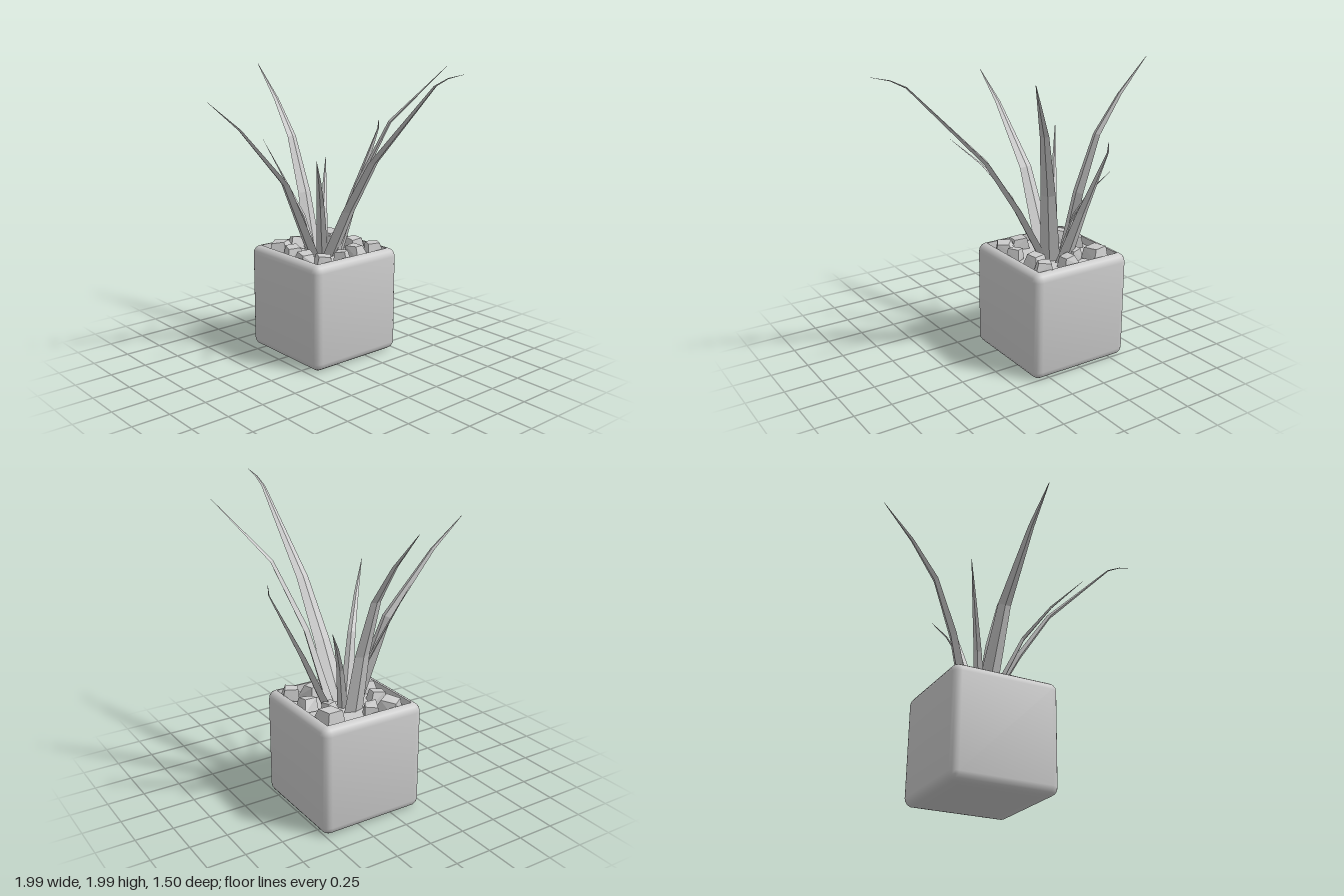
import * as THREE from 'three';
import { toCreasedNormals } from 'three/addons/utils/BufferGeometryUtils.js';
import { ConvexGeometry } from 'three/addons/geometries/ConvexGeometry.js';

const POT_X = -0.25, POT_Z = -0.15;      // pot centre
const HALF = 0.363, TOP = 0.73, BEVEL = 0.055, SOIL_Y = 0.68;

const grey = new THREE.MeshStandardMaterial({ color: 0xcccccc });
const greyFlat = new THREE.MeshStandardMaterial({ color: 0xcccccc, flatShading: true });

function named(name, geometry, material) {
  const mesh = new THREE.Mesh(geometry, material);
  mesh.name = name;
  return mesh;
}

// Skin a list of rings (arrays of equal length, running from bottom to top)
function loft(rings) {
  const n = rings[0].length, index = [];
  for (let j = 0; j < rings.length - 1; j++) {
    for (let i = 0; i < n; i++) {
      const a = j * n + i, b = j * n + (i + 1) % n;
      index.push(a, a + n, b, b, a + n, b + n);
    }
  }
  const geometry = new THREE.BufferGeometry().setFromPoints(rings.flat());
  geometry.setIndex(index);
  return geometry;
}

// Rounded square: corner centres at distance c, corner radius r, height y
function squareRing(c, r, y) {
  const ring = [], steps = 4;
  for (let k = 0; k < 4; k++) {
    const mid = (k + 0.5) * Math.PI / 2;
    for (let s = 0; s <= steps; s++) {
      const a = (k + s / steps) * Math.PI / 2;
      ring.push(new THREE.Vector3(
        Math.sign(Math.cos(mid)) * c + r * Math.cos(a), y,
        Math.sign(Math.sin(mid)) * c + r * Math.sin(a)));
    }
  }
  return ring;
}

// Hollow pot with rounded edges all round
function makePot() {
  const c = HALF - BEVEL, rings = [squareRing(0, 0, 0)];
  for (let s = 0; s <= 4; s++) {
    const a = s / 4 * Math.PI / 2;
    rings.push(squareRing(c, Math.max(0.001, BEVEL * Math.sin(a)), BEVEL * (1 - Math.cos(a))));
  }
  for (let s = 0; s <= 4; s++) {
    const a = s / 4 * Math.PI / 2;
    rings.push(squareRing(c, Math.max(0.001, BEVEL * Math.cos(a)), TOP - BEVEL * (1 - Math.sin(a))));
  }
  rings.push(squareRing(c, 0.001, SOIL_Y - 0.03));
  const pot = named('pot', toCreasedNormals(loft(rings), 0.6), grey);
  pot.position.set(POT_X, 0, POT_Z);
  return pot;
}

// Angular pebble: hull of a jittered block
function makeStone(x, z, size, rand) {
  const points = [];
  for (const sx of [-1, 1]) for (const sy of [-1, 1]) for (const sz of [-1, 1]) {
    const inset = sy > 0 ? 0.7 : 1;
    points.push(new THREE.Vector3(
      sx * size * inset * (0.75 + 0.35 * rand()),
      sy * 0.04 * (0.75 + 0.35 * rand()),
      sz * size * inset * (0.75 + 0.35 * rand())));
  }
  const stone = named('stone', new ConvexGeometry(points), greyFlat);
  stone.position.set(x, 0.71 + 0.025 * rand(), z);
  stone.rotation.set((rand() - 0.5) * 0.3, rand() * 1.2 - 0.6, (rand() - 0.5) * 0.3);
  return stone;
}

// Tapering blade with a ridge and keel; path is [distance from centre, height]
function makeLeaf([dx, dz], path, width, thick) {
  const dir = new THREE.Vector3(dx, 0, dz).normalize();
  const up = new THREE.Vector3(0, 1, 0);
  const side = new THREE.Vector3().crossVectors(up, dir);
  const pts = path.map(([d, y]) => new THREE.Vector3(-0.26, y, -0.15).addScaledVector(dir, d));
  const lengths = [0];
  for (let i = 1; i < pts.length; i++) lengths.push(lengths[i - 1] + pts[i].distanceTo(pts[i - 1]));
  const rings = [Array(4).fill(pts[0])];                     // closed base
  pts.forEach((p, i) => {
    const t = lengths[i] / lengths[lengths.length - 1];
    const taper = Math.max(0.03, Math.pow(1 - t, 0.8));
    const tangent = new THREE.Vector3().subVectors(
      pts[Math.min(i + 1, pts.length - 1)], pts[Math.max(i - 1, 0)]).normalize();
    const normal = new THREE.Vector3().crossVectors(tangent, side);   // towards the upper face
    const corner = (axis, amount) => p.clone().addScaledVector(axis, amount * taper);
    rings.push([corner(side, width), corner(normal, -thick),
      corner(side, -width), corner(normal, thick)]);
  });
  rings.push(Array(4).fill(pts[pts.length - 1]));            // closed tip
  // keep faces pointing outwards
  const geometry = loft(rings);
  const test = new THREE.Vector3().crossVectors(
    rings[2][0].clone().sub(rings[1][0]), rings[1][1].clone().sub(rings[1][0]));
  if (test.dot(rings[1][0].clone().add(rings[1][1]).multiplyScalar(0.5).sub(pts[0])) < 0) {
    const idx = geometry.index.array;
    for (let i = 0; i < idx.length; i += 3) [idx[i + 1], idx[i + 2]] = [idx[i + 2], idx[i + 1]];
  }
  geometry.computeVertexNormals();
  return named('leaf', geometry, greyFlat);
}

export function createModel() {
  const model = new THREE.Group();
  model.name = 'pottedPlant';
  model.add(makePot());

  // Soil
  const soil = named('soil', new THREE.PlaneGeometry(0.615, 0.615).rotateX(-Math.PI / 2), grey);
  soil.position.set(POT_X, SOIL_Y, POT_Z);
  model.add(soil);

  // Stones
  let seed = 7;
  const rand = () => (seed = (seed * 16807) % 2147483647) / 2147483647;
  const stones = new THREE.Group();
  stones.name = 'stones';
  for (const [x, z, size] of [
    [-0.45, -0.37, 0.075], [-0.21, -0.39, 0.06], [-0.02, -0.4, 0.06], [-0.05, -0.26, 0.065],
    [-0.49, -0.1, 0.055], [-0.48, 0.05, 0.075], [-0.33, 0.06, 0.06], [-0.15, 0.09, 0.065],
    [-0.01, 0.05, 0.065], [0.0, -0.1, 0.05], [-0.33, -0.3, 0.045]
  ]) stones.add(makeStone(x, z, size, rand));
  model.add(stones);

  // Leaves: direction (x, z), path, half width, half thickness
  const leaves = new THREE.Group();
  leaves.name = 'leaves';
  for (const leaf of [
    [[-1, -0.01], [[0.11, 0.67], [0.205, 1.08], [0.345, 1.46], [0.525, 1.71], [0.74, 1.94]], 0.07, 0.024],
    [[1, 0.008], [[0.07, 0.67], [0.27, 1.03], [0.51, 1.39], [1.03, 1.91], [1.13, 1.96], [1.25, 1.99]], 0.07, 0.024],
    [[0, 1], [[0.08, 0.67], [0.32, 1.21], [0.67, 1.6], [0.9, 1.79]], 0.07, 0.024],
    [[-0.03, -1], [[0.12, 0.67], [0.3, 1.06], [0.505, 1.46], [0.525, 1.5], [0.53, 1.56]], 0.07, 0.024],
    [[0.56, -0.6], [[0.09, 0.67], [0.24, 1.17], [0.45, 1.6], [0.82, 1.97]], 0.066, 0.026],
    [[0.51, 0.47], [[0.07, 0.67], [0.28, 1.07], [0.47, 1.28], [0.69, 1.45]], 0.042, 0.016],
    [[-0.28, -0.26], [[0.05, 0.67], [0.14, 0.97], [0.25, 1.15], [0.38, 1.29]], 0.036, 0.014],
    [[-0.24, 0.32], [[0.05, 0.67], [0.13, 0.95], [0.27, 1.23], [0.4, 1.48]], 0.036, 0.014]
  ]) leaves.add(makeLeaf(...leaf));
  model.add(leaves);

  return model;
}
